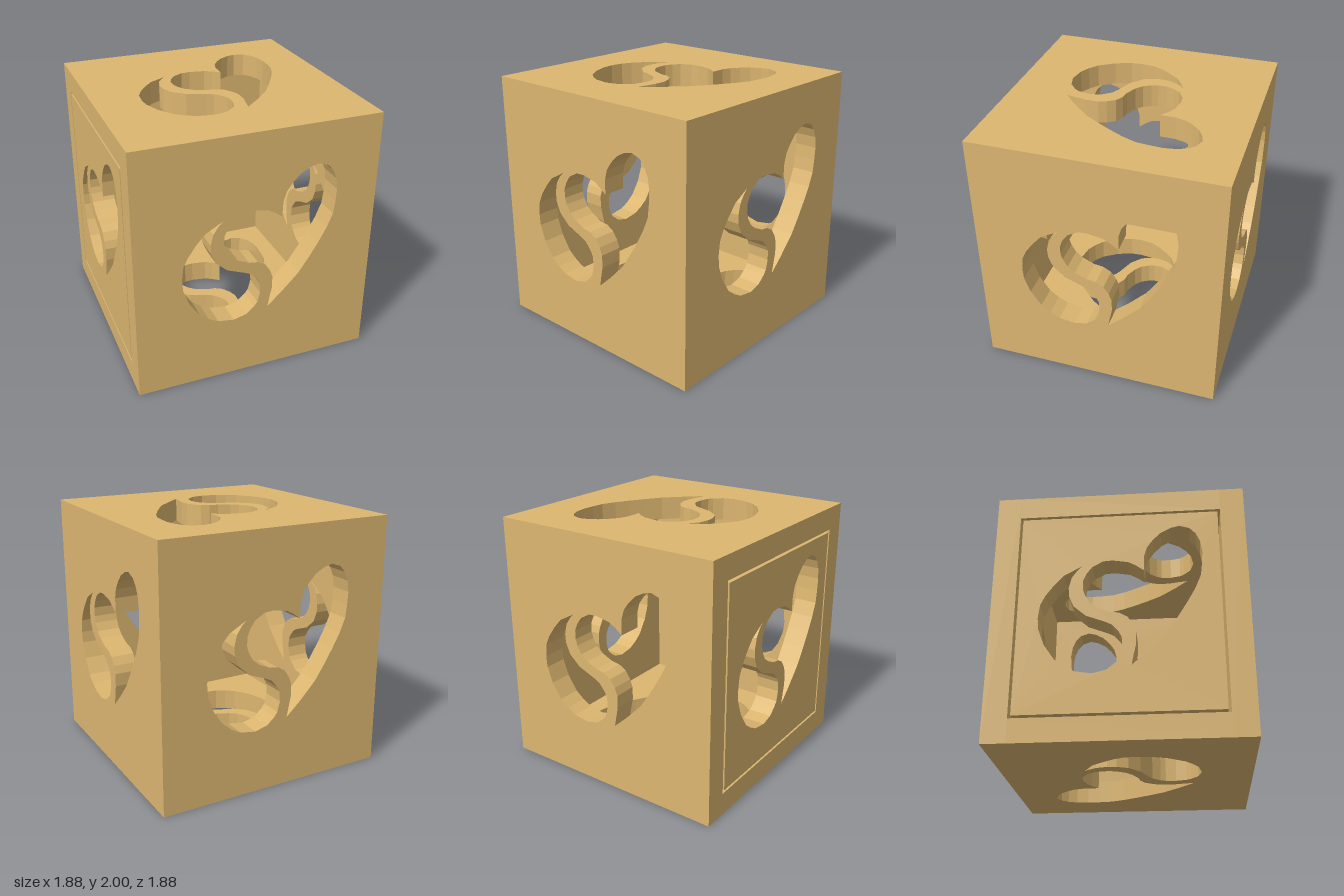
import * as THREE from 'three';

const W = 1.88, H = 2, T = 0.18, GAP = 0.02;

// Left crescent opening of the split heart (u right, v up)
const CRESCENT = [
  [-0.275, 0.315], [-0.41, 0.24], [-0.48, 0.16], [-0.54, 0.075], [-0.575, 0], [-0.587, -0.105],
  [-0.58, -0.195], [-0.535, -0.32], [-0.455, -0.44], [-0.385, -0.495], [-0.31, -0.535],
  [-0.185, -0.555], [-0.085, -0.53], [-0.02, -0.475], [0.005, -0.44], [0.025, -0.36],
  [0.02, -0.28], [0, -0.24], [-0.05, -0.18], [-0.1, -0.155], [-0.24, -0.1], [-0.33, -0.02],
  [-0.365, 0.065], [-0.37, 0.135], [-0.35, 0.22], [-0.31, 0.28],
];

// Right opening with the notch, the round lobe and the pointed tip
const LOBE = [
  [0.18, 0.26], [0.12, 0.305], [0.065, 0.335], [-0.05, 0.355], [-0.12, 0.35], [-0.2, 0.305],
  [-0.24, 0.25], [-0.265, 0.19], [-0.265, 0.12], [-0.25, 0.07], [-0.215, 0.01], [-0.16, -0.035],
  [-0.07, -0.075], [0, -0.085], [0.06, -0.12], [0.1, -0.18], [0.122, -0.24], [0.122, -0.34],
  [0.105, -0.42], [0.09, -0.5], [0.2, -0.4], [0.34, -0.255], [0.42, -0.135], [0.49, -0.02],
  [0.55, 0.09], [0.595, 0.2], [0.607, 0.3], [0.613, 0.4], [0.6, 0.49], [0.57, 0.56],
  [0.525, 0.61], [0.45, 0.635], [0.385, 0.62], [0.31, 0.58], [0.25, 0.52], [0.205, 0.455],
  [0.183, 0.38],
];

// Flat wall w x h with the heart openings raised by dv
function panelGeometry(w, h, dv) {
  const shape = new THREE.Shape([
    new THREE.Vector2(-w / 2, -h / 2), new THREE.Vector2(w / 2, -h / 2),
    new THREE.Vector2(w / 2, h / 2), new THREE.Vector2(-w / 2, h / 2),
  ]);
  for (const outline of [CRESCENT, LOBE]) {
    shape.holes.push(new THREE.Path(outline.map(([u, v]) => new THREE.Vector2(u, v + dv))));
  }
  return new THREE.ExtrudeGeometry(shape, { depth: T, bevelEnabled: false });
}

export function createModel() {
  const model = new THREE.Group();
  model.name = 'heartBox';
  const material = new THREE.MeshStandardMaterial({ color: 0xdcb670, flatShading: true });

  function addPanel(name, w, h, dv, position, rx, ry) {
    const mesh = new THREE.Mesh(panelGeometry(w, h, dv), material);
    mesh.name = name;
    mesh.position.set(...position);
    mesh.rotation.set(rx, ry, 0);
    model.add(mesh);
  }

  const inner = W / 2 - T;      // half width of the cavity
  const iw = W - 2 * T, ih = H - 2 * T;

  // Full-size front and back walls
  addPanel('frontWall', W, H, 0.05, [0, H / 2, inner], 0, 0);
  addPanel('backWall', W, H, 0.05, [0, H / 2, -inner], 0, Math.PI);

  // Top and floor fit between them
  addPanel('topWall', W, iw, 0, [0, H - T, 0], -Math.PI / 2, 0);
  addPanel('floor', W, iw, 0, [0, 0, 0], -Math.PI / 2, 0);

  // Side wall, and on the other side a loose lid with a clearance gap
  addPanel('sideWall', iw, ih, 0.05, [inner, H / 2, 0], 0, Math.PI / 2);
  addPanel('sideLid', iw - GAP * 2, ih - GAP * 2, 0.05, [-inner, H / 2, 0], 0, -Math.PI / 2);

  return model;
}
